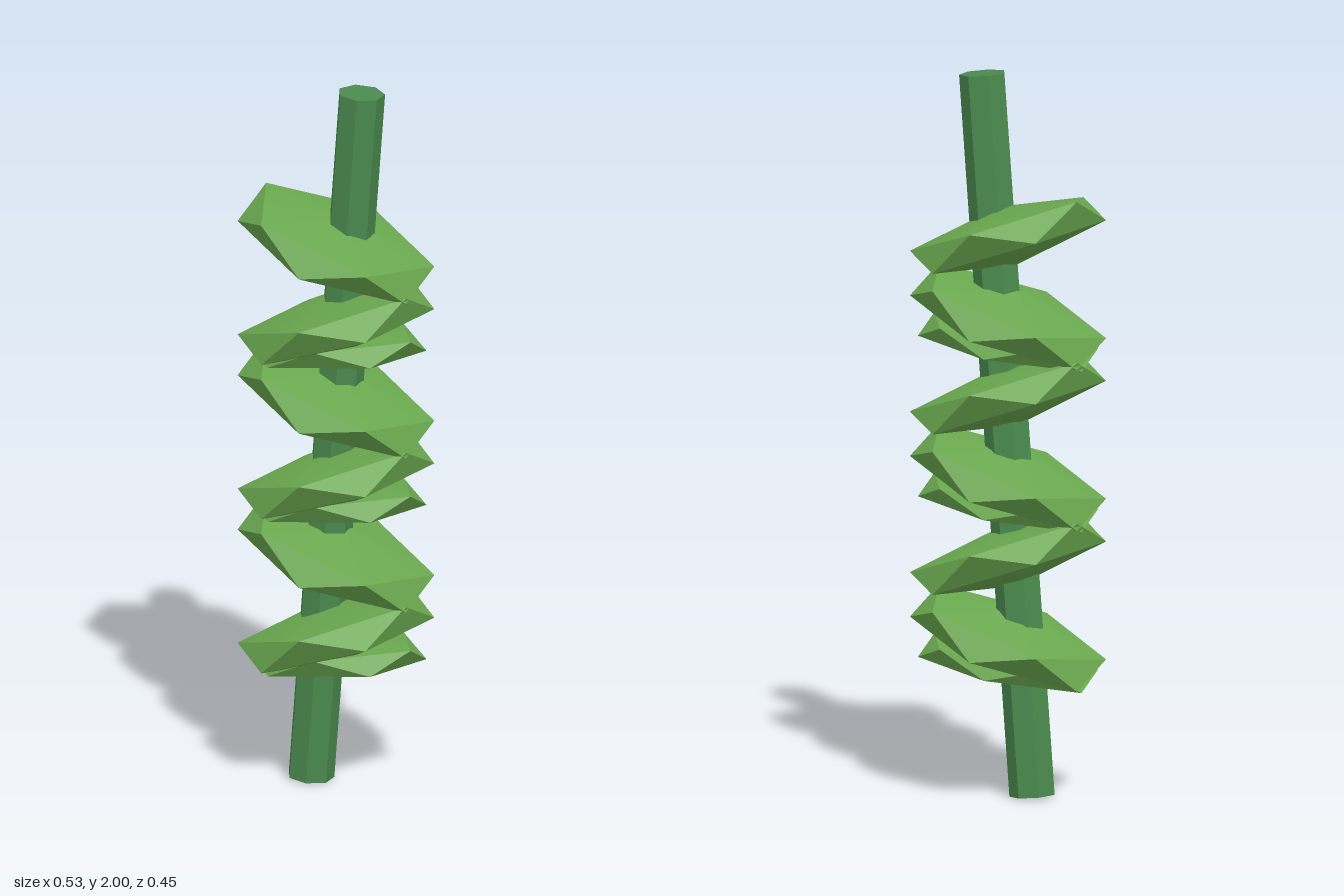
import * as THREE from 'three';
import { toCreasedNormals } from 'three/addons/utils/BufferGeometryUtils.js';

const leafGreen = new THREE.MeshStandardMaterial({ name: 'leafGreen', color: 0x6aa84f });
const stemGreen = new THREE.MeshStandardMaterial({ name: 'stemGreen', color: 0x4a8a4e });

// Flattened icosahedron standing on a pole, tilted down towards +x
function leafPad(rx, ry, rz, tilt, turn) {
  const g = new THREE.IcosahedronGeometry(1, 0);
  g.rotateZ(-Math.atan(2 / (1 + Math.sqrt(5))));
  g.rotateY(Math.PI / 2);
  g.scale(rx, ry, rz);
  g.rotateZ(-tilt);
  g.rotateY(turn);
  return toCreasedNormals(g, 0.45);
}

export function createModel() {
  const model = new THREE.Group();
  model.name = 'plant';

  // Leaning seven-sided stem
  const stem = new THREE.Mesh(
    new THREE.CylinderGeometry(0.065, 0.065, 1.995, 7, 1, false, -Math.PI / 2),
    stemGreen
  );
  stem.material.flatShading = true;
  stem.name = 'stem';
  stem.position.y = 1;
  stem.rotation.z = -0.076;
  model.add(stem);

  // Three leaf shapes, repeated in three tiers
  const pads = [
    { name: 'upperLeaf', y: 1.55, geometry: leafPad(0.312, 0.083, 0.25, 0.33, 0) },
    { name: 'middleLeaf', y: 1.325, geometry: leafPad(0.312, 0.083, 0.25, 0.33, Math.PI) },
    { name: 'lowerLeaf', y: 1.255, geometry: leafPad(0.292, 0.058, 0.168, 0.13, Math.PI) },
  ];
  for (let tier = 0; tier < 3; tier++) {
    const group = new THREE.Group();
    group.name = 'leafTier' + (tier + 1);
    group.position.y = -0.445 * tier;
    for (const pad of pads) {
      const leaf = new THREE.Mesh(pad.geometry, leafGreen);
      leaf.name = pad.name;
      leaf.position.y = pad.y;
      group.add(leaf);
    }
    model.add(group);
  }
  return model;
}
